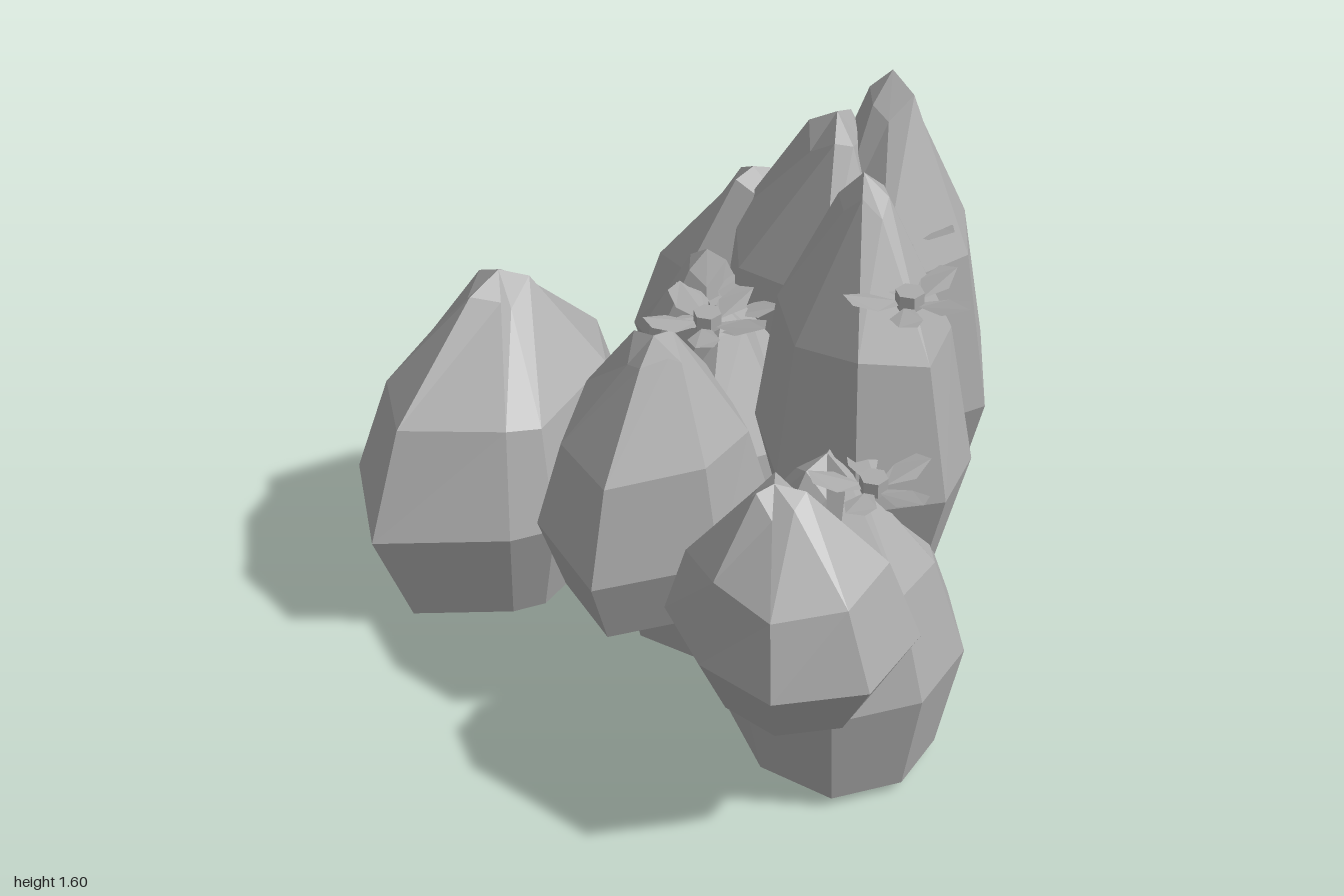
import * as THREE from 'three';

const grey = new THREE.MeshStandardMaterial({ color: 0xacacac, flatShading: true });
grey.name = 'stoneGrey';
const petalGrey = new THREE.MeshStandardMaterial({ color: 0xa9a9a9, flatShading: true, side: THREE.DoubleSide });
petalGrey.name = 'petalGrey';

// Faceted boulder: a belt outline [x, z] scaled into rings that lean towards the peak
function rock(name, yBottom, yBelt, peak, belt, base = 0.75) {
  const n = belt.length;
  const cx = belt.reduce((s, p) => s + p[0], 0) / n;
  const cz = belt.reduce((s, p) => s + p[1], 0) / n;
  const outline = [...belt].sort((a, b) =>
    Math.atan2(a[1] - cz, a[0] - cx) - Math.atan2(b[1] - cz, b[0] - cx));
  const [px, py, pz] = peak;
  const ring = (scale, lean, y, wobble = 0) => outline.map(([x, z], i) => [
    cx + (px - cx) * lean + (x - cx) * scale,
    y + wobble * Math.sin(i * 2.4 + cx * 9),
    cz + (pz - cz) * lean + (z - cz) * scale]);
  const h = py - yBelt;
  const rings = [
    ring(base, 0, yBottom),
    ring(1, 0, yBelt),
    ring(0.78, 0.35, yBelt + h * 0.48, 0.02),
    ring(0.22, 0.9, yBelt + h * 0.91, 0.035),
  ];
  const pos = [];
  const tri = (...pts) => pts.forEach((p) => pos.push(...p));
  for (let i = 0; i < n; i++) {
    const j = (i + 1) % n;
    tri([cx, yBottom, cz], rings[0][i], rings[0][j]);
    for (let r = 0; r < rings.length - 1; r++) {
      const lo = rings[r], hi = rings[r + 1];
      tri(lo[i], hi[i], lo[j]);
      tri(lo[j], hi[i], hi[j]);
    }
    tri(rings[3][i], peak, rings[3][j]);
  }
  const geo = new THREE.BufferGeometry();
  geo.setAttribute('position', new THREE.Float32BufferAttribute(pos, 3));
  geo.computeVertexNormals();
  const mesh = new THREE.Mesh(geo, grey);
  mesh.name = name;
  return mesh;
}

// Upturned five-sided petal lying along +x
function petalGeometry() {
  const s = new THREE.Shape();
  s.moveTo(0.03, -0.012);
  s.lineTo(0.10, -0.042);
  s.lineTo(0.165, -0.015);
  s.lineTo(0.15, 0.03);
  s.lineTo(0.09, 0.04);
  s.lineTo(0.03, 0.012);
  const g = new THREE.ShapeGeometry(s).rotateX(-Math.PI / 2);
  const p = g.attributes.position;
  for (let i = 0; i < p.count; i++) p.setY(i, 1.2 * p.getX(i) ** 2 - 0.012);
  g.computeVertexNormals();
  return g;
}

function flower(x, y, z, turn, petalGeo) {
  const g = new THREE.Group();
  g.name = 'flower';
  const heart = new THREE.Mesh(new THREE.CylinderGeometry(0.037, 0.037, 0.042, 6), grey);
  heart.name = 'flowerCentre';
  g.add(heart);
  for (let i = 0; i < 5; i++) {
    const petal = new THREE.Mesh(petalGeo, petalGrey);
    petal.name = 'petal';
    petal.rotation.y = turn + i * Math.PI * 2 / 5;
    g.add(petal);
  }
  g.position.set(x, y, z);
  return g;
}

export function createModel() {
  const model = new THREE.Group();
  model.name = 'rockCluster';

  // Front boulders
  model.add(
    rock('leftFrontRock', 0.03, 0.36, [-0.65, 0.98, 0.34],
      [[-1, 0.4], [-0.92, 0.12], [-0.66, -0.11], [-0.37, 0.1], [-0.27, 0.5], [-0.32, 0.62], [-0.58, 0.9], [-0.9, 0.7]]),
    rock('middleFrontRock', 0.29, 0.52, [0.03, 1.1, 0.38],
      [[-0.34, 0.37], [-0.17, 0.64], [0.15, 0.73], [0.31, 0.42], [0.22, 0.13], [-0.05, 0.02], [-0.35, 0.14]], 0.78),
    rock('rightFrontRock', 0.43, 0.61, [0.65, 1.05, 0.56],
      [[1, 0.58], [0.94, 0.33], [0.7, 0.29], [0.47, 0.34], [0.39, 0.53], [0.41, 0.71], [0.63, 0.8], [0.86, 0.78]], 0.7),
    rock('rightBaseRock', 0.03, 0.36, [0.56, 0.95, 0.28],
      [[0.93, 0.3], [0.87, 0.07], [0.68, -0.08], [0.4, -0.06], [0.23, 0.2], [0.28, 0.46], [0.55, 0.58], [0.82, 0.52]], 0.8),
    rock('centreBaseRock', 0, 0.34, [-0.06, 1.0, 0.04],
      [[0.3, 0.05], [0.17, 0.35], [-0.1, 0.42], [-0.35, 0.22], [-0.35, -0.1], [-0.1, -0.3], [0.2, -0.25]], 0.82),
  );

  // Tall spires
  model.add(
    rock('rightSpire', 0.44, 0.8, [0.42, 1.6, 0.02],
      [[0.51, -0.24], [0.7, -0.12], [0.78, 0.07], [0.65, 0.27], [0.4, 0.3], [0.16, 0.14], [0.16, -0.03]], 0.68),
    rock('backSpire', 0.25, 0.63, [0.04, 1.55, -0.5],
      [[0.42, -0.51], [0.16, -0.79], [-0.03, -0.85], [-0.2, -0.72], [-0.2, -0.38], [0.06, -0.16], [0.32, -0.17]], 0.7),
    rock('middleSpire', 0.25, 0.64, [-0.03, 1.45, -0.36],
      [[-0.2, -0.04], [0.2, -0.05], [0.28, -0.3], [0.1, -0.62], [-0.2, -0.76], [-0.47, -0.65], [-0.42, -0.24]], 0.72),
    rock('leftSpire', 0.35, 0.6, [-0.3, 1.19, -0.31],
      [[-0.66, -0.41], [-0.62, -0.13], [-0.4, -0.06], [-0.15, -0.18], [-0.12, -0.45], [-0.3, -0.57], [-0.53, -0.6]], 0.75),
  );

  // Low boulders at the back
  model.add(
    rock('backBaseRock', 0.03, 0.32, [-0.22, 0.95, -0.52],
      [[-0.24, -0.91], [0.01, -0.88], [0.12, -0.55], [0, -0.25], [-0.3, -0.2], [-0.54, -0.42], [-0.43, -0.77]], 0.76),
    rock('leftBaseRock', 0.03, 0.36, [-0.25, 1.04, -0.08],
      [[-0.6, -0.12], [-0.36, 0.13], [-0.12, 0.06], [-0.08, -0.25], [-0.3, -0.42], [-0.55, -0.36]], 0.75),
  );

  // Flowers: x, y, z, turn
  const petalGeo = petalGeometry();
  for (const f of [
    [0.63, 1.35, 0.07, 0.35], [0.17, 1.19, 0.32, 0.4], [0.72, 0.94, 0.28, 0.1],
    [0.17, 1.16, -0.39, 0.5], [-0.1, 0.95, 0.01, 0.8],
  ]) model.add(flower(...f, petalGeo));

  return model;
}
